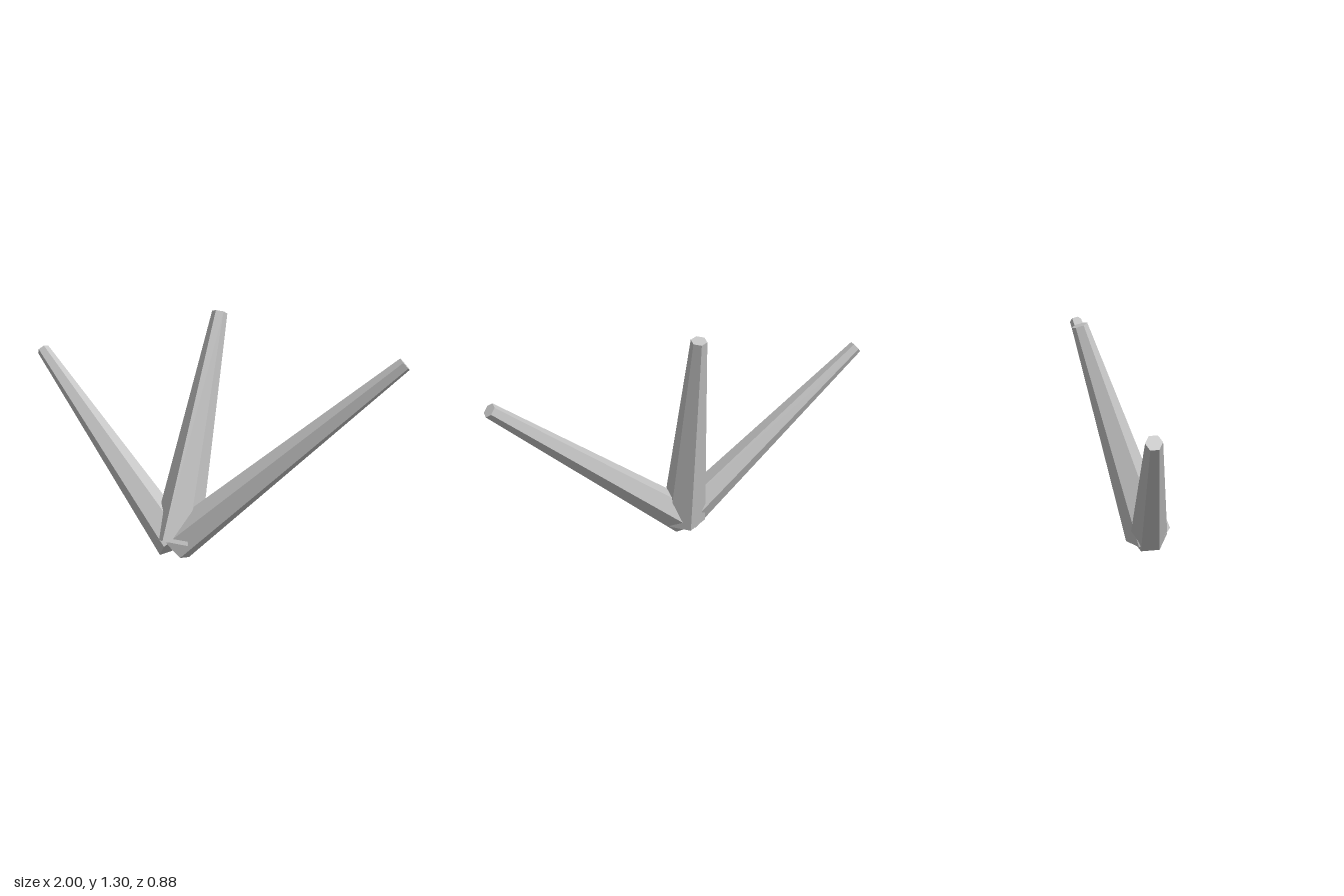
import * as THREE from 'three';

const lightGrey = new THREE.MeshStandardMaterial({ color: 0xc4c4c4 });
lightGrey.name = 'lightGrey';
lightGrey.flatShading = true;

const UP = new THREE.Vector3(0, 1, 0);

// Six-sided tapered spike running from a base point to a tip point
function spike(name, base, tip, baseRadius, tipRadius) {
  const start = new THREE.Vector3(...base);
  const axis = new THREE.Vector3(...tip).sub(start);
  const length = axis.length();
  const geometry = new THREE.CylinderGeometry(tipRadius, baseRadius, length, 6);
  geometry.rotateY(Math.PI / 2); // a corner faces +x
  geometry.translate(0, length / 2, 0);
  const mesh = new THREE.Mesh(geometry, lightGrey);
  mesh.name = name;
  mesh.position.copy(start);
  mesh.quaternion.setFromUnitVectors(UP, axis.normalize());
  return mesh;
}

export function createModel() {
  const group = new THREE.Group();
  group.name = 'spikeCluster';
  const root = [-0.15, 0.08, 0.19];

  // Three spikes fanning out of one root
  group.add(
    spike('leftSpike', root, [0.973, 1.06, 0.41], 0.105, 0.037),
    spike('rightSpike', root, [-0.97, 1.06, -0.41], 0.105, 0.037),
    spike('middleSpike', [-0.15, 0.085, 0.185], [0.073, 1.288, -0.115], 0.13, 0.042)
  );
  return group;
}
